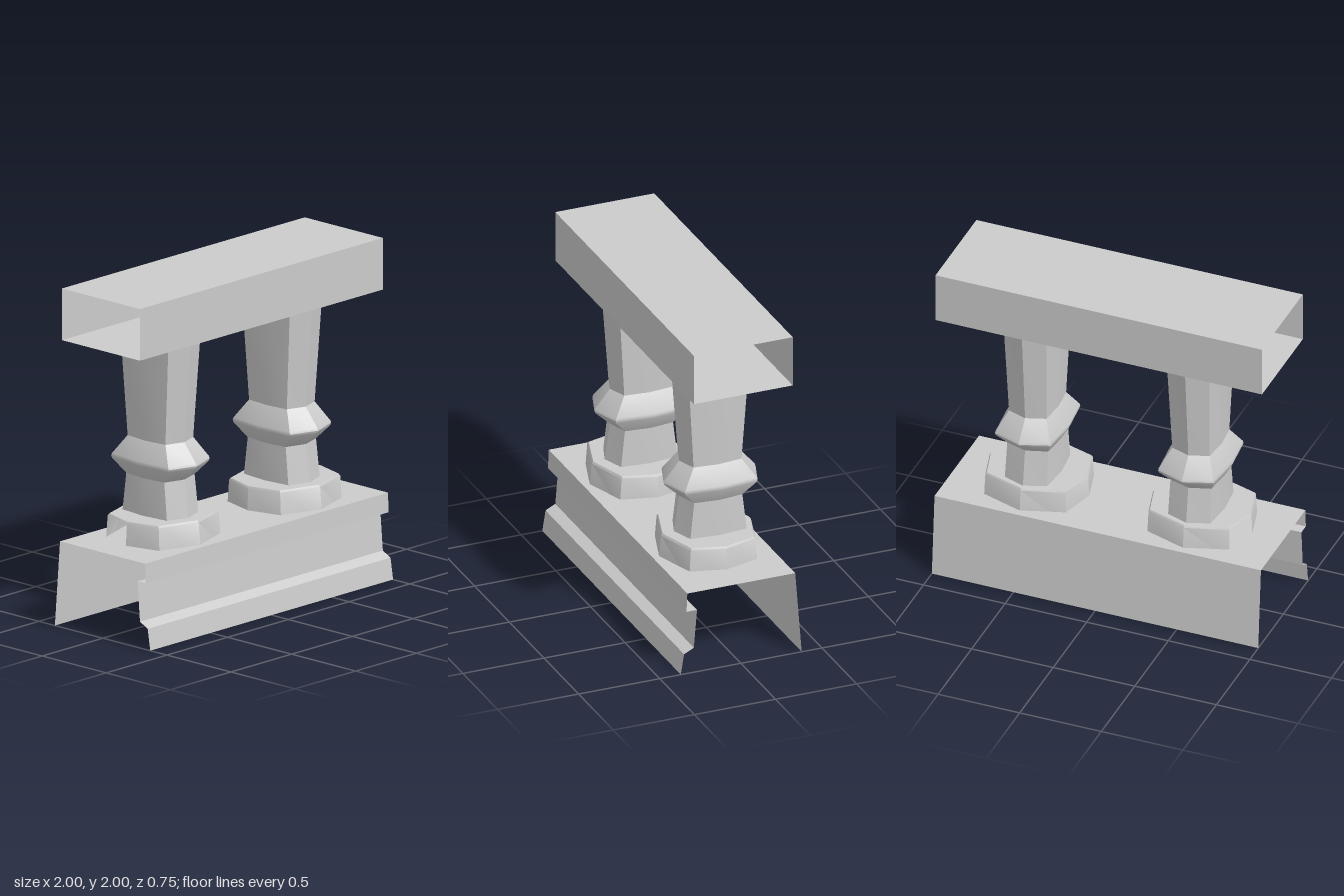
import * as THREE from 'three';
import { toCreasedNormals } from 'three/addons/utils/BufferGeometryUtils.js';

const material = new THREE.MeshStandardMaterial({ color: 0xcccccc, side: THREE.DoubleSide });

// Skin between successive cross-sections; omit(strip, side) leaves a panel open
function loft(name, sections, closed, omit = () => false) {
  const positions = [];
  const count = sections[0].length;
  for (let i = 0; i < sections.length - 1; i++) {
    for (let j = 0; j < (closed ? count : count - 1); j++) {
      if (omit(i, j)) continue;
      const k = (j + 1) % count;
      const a = sections[i][j], b = sections[i][k];
      const c = sections[i + 1][k], d = sections[i + 1][j];
      positions.push(...a, ...d, ...c, ...a, ...c, ...b);
    }
  }
  const geometry = new THREE.BufferGeometry();
  geometry.setAttribute('position', new THREE.Float32BufferAttribute(positions, 3));
  geometry.computeVertexNormals();
  const mesh = new THREE.Mesh(toCreasedNormals(geometry, 0.5), material);
  mesh.name = name;
  return mesh;
}

// Eight-sided ring with points on the axes and corners at (cx, cz) of the half sizes
function octagon(y, hx, hz, cx, cz) {
  return [[1, 0], [cx, cz], [0, 1], [-cx, cz], [-1, 0], [-cx, -cz], [0, -1], [cx, -cz]]
    .map(([x, z]) => [x * hx, y, z * hz]);
}

// Open-ended rail running along x, profile given as [z, y]
function rail(name, profile, closed) {
  return loft(name, [-1, 1].map((x) => profile.map(([z, y]) => [x, y, z])), closed);
}

export function createModel() {
  const model = new THREE.Group();
  model.name = 'balustrade';

  // Hollow handrail and moulded plinth, open underneath
  model.add(rail('handrail', [[0.29, 1.695], [0.29, 2], [-0.32, 2], [-0.32, 1.695]], true));
  model.add(rail('plinth', [
    [0.37, 0], [0.35, 0.125], [0.29, 0.155], [0.27, 0.39],
    [0.335, 0.39], [0.33, 0.505], [-0.335, 0.505], [-0.375, 0],
  ], false));

  // Profiles as [y, half width, half depth]
  const footProfile = [[0.44, 0.308, 0.295], [0.632, 0.302, 0.277], [0.645, 0.295, 0.268], [0.645, 0.12, 0.18]];
  const shaftProfile = [
    [0.64, 0.147, 0.22], [0.865, 0.142, 0.188], [0.948, 0.19, 0.278], [0.962, 0.193, 0.283],
    [0.976, 0.19, 0.278], [1.085, 0.13, 0.187], [1.695, 0.15, 0.2375],
  ];

  for (const x of [-0.503, 0.497]) {
    const baluster = new THREE.Group();
    baluster.name = x < 0 ? 'rightBaluster' : 'leftBaluster';
    baluster.position.x = x;

    // One foot has an open side panel
    const foot = loft('balusterFoot', footProfile.map(([y, w, d]) => octagon(y, w, d, 0.82, 0.72)), true,
      (strip, side) => x < 0 && strip === 0 && side === 4);
    const shaft = loft('balusterShaft', shaftProfile.map(([y, w, d]) => octagon(y, w, d, 0.88, 0.79)), true);
    shaft.position.z = -0.022;
    baluster.add(foot, shaft);
    model.add(baluster);
  }
  return model;
}
